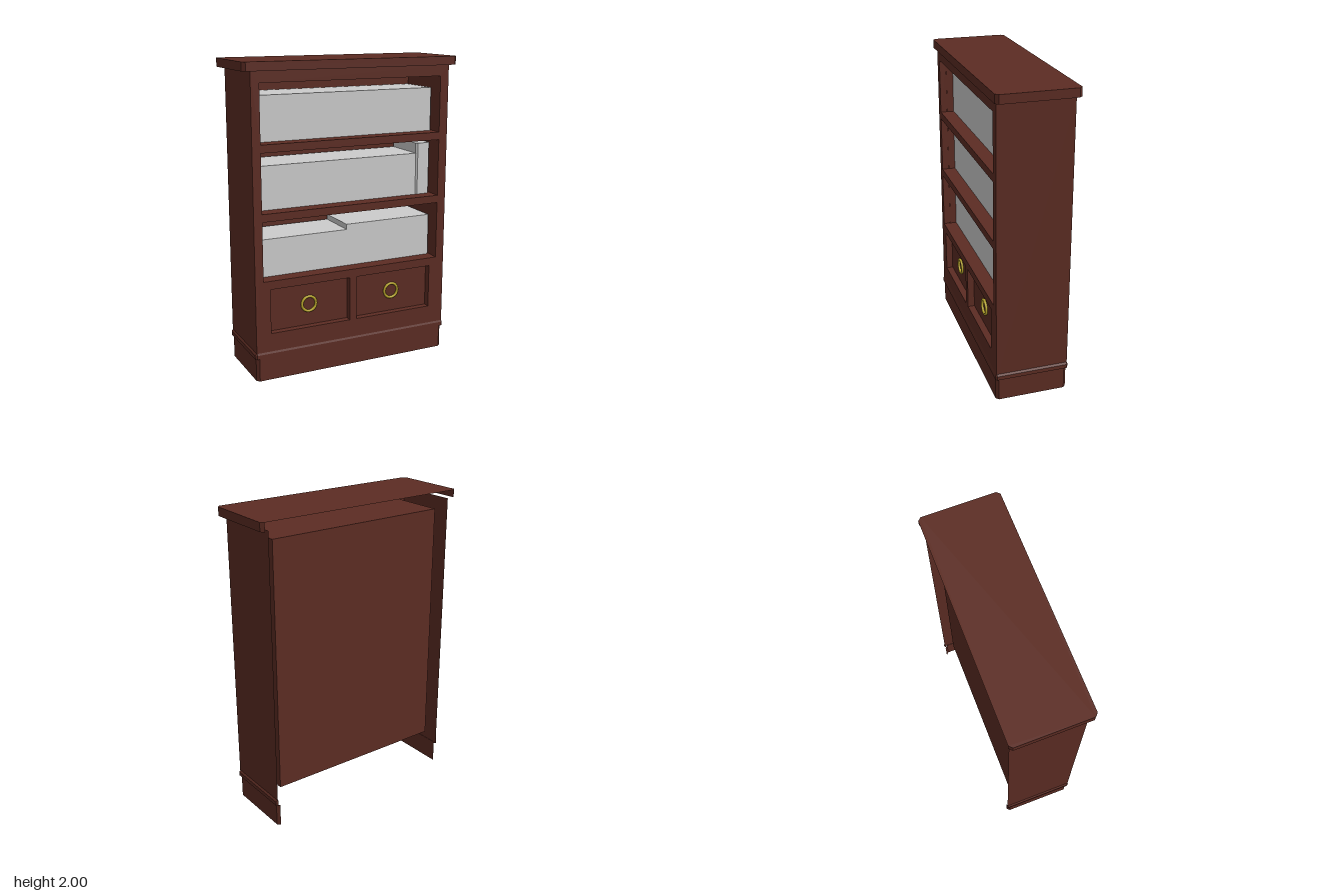
import * as THREE from 'three';

const wood = new THREE.MeshStandardMaterial({ color: 0x5c2c23, side: THREE.DoubleSide });
wood.name = 'mahogany';
const paper = new THREE.MeshStandardMaterial({ color: 0xcccccc });
paper.name = 'pale grey';
const brass = new THREE.MeshStandardMaterial({ color: 0xb8a52c });
brass.name = 'brass';

const FRONT = 0.235, BACK = -0.18;

function add(parent, name, geometry, material, x = 0, y = 0, z = 0) {
  const mesh = new THREE.Mesh(geometry, material);
  mesh.name = name;
  mesh.position.set(x, y, z);
  parent.add(mesh);
  return mesh;
}

// Box given by its limits
function block(parent, name, material, x0, x1, y0, y1, z0, z1) {
  return add(parent, name, new THREE.BoxGeometry(x1 - x0, y1 - y0, z1 - z0), material,
    (x0 + x1) / 2, (y0 + y1) / 2, (z0 + z1) / 2);
}

// Rectangle with cut corners, starting and ending at the back
function outline(w, d, c) {
  return [[w - c, -d], [w, -d + c], [w, d - c], [w - c, d],
    [-w + c, d], [-w, d - c], [-w, -d + c], [-w + c, -d]];
}

// Thin wall through stacked outlines, open at the back; rings are [y, halfWidth, halfDepth, cut]
function openWall(rings) {
  const pos = [];
  for (let i = 0; i + 1 < rings.length; i++) {
    const [ya, ...ra] = rings[i], [yb, ...rb] = rings[i + 1];
    const a = outline(...ra), b = outline(...rb);
    for (let k = 0; k < 7; k++) {
      const p = [a[k][0], ya, a[k][1]], q = [a[k + 1][0], ya, a[k + 1][1]];
      const r = [b[k + 1][0], yb, b[k + 1][1]], s = [b[k][0], yb, b[k][1]];
      // the outlines run clockwise seen from above
      pos.push(...p, ...r, ...q, ...p, ...s, ...r);
    }
  }
  const g = new THREE.BufferGeometry();
  g.setAttribute('position', new THREE.Float32BufferAttribute(pos, 3));
  g.computeVertexNormals();
  return g;
}

function rectPath(x0, x1, y0, y1, Type) {
  return new Type([[x0, y0], [x1, y0], [x1, y1], [x0, y1]].map(p => new THREE.Vector2(...p)));
}

export function createModel() {
  const model = new THREE.Group();
  model.name = 'bookcase';

  // Front frame with three shelf openings and two drawer recesses
  const frame = rectPath(-0.68, 0.68, 0.185, 1.945, THREE.Shape);
  const drawers = [[-0.58, -0.03], [0.02, 0.57]];
  for (const [y0, y1] of [[1.51, 1.875], [1.085, 1.46], [0.655, 1.035]])
    frame.holes.push(rectPath(-0.625, 0.62, y0, y1, THREE.Path));
  for (const [x0, x1] of drawers)
    frame.holes.push(rectPath(x0, x1, 0.31, 0.6, THREE.Path));
  add(model, 'frontFrame', new THREE.ExtrudeGeometry(frame, { depth: 0.045, bevelEnabled: false }),
    wood, 0, 0, FRONT - 0.045);

  // Outer side walls and inner lining
  for (const s of [1, -1]) {
    const side = add(model, s > 0 ? 'leftSide' : 'rightSide',
      new THREE.PlaneGeometry(0.47, 1.795), wood, s * 0.68, 1.0475, 0);
    side.rotation.y = s * Math.PI / 2;
    const lining = add(model, s > 0 ? 'leftLining' : 'rightLining',
      new THREE.PlaneGeometry(0.37, 1.635), wood, s * 0.6225, 1.0575, 0.005);
    lining.rotation.y = -s * Math.PI / 2;
  }
  add(model, 'backPanel', new THREE.PlaneGeometry(1.245, 1.635), wood, 0, 1.0575, BACK);

  // Shelves, ceiling and floor
  for (const [y0, y1] of [[1.46, 1.51], [1.035, 1.085], [0.6, 0.655]])
    block(model, 'shelf', wood, -0.6225, 0.6225, y0, y1, BACK + 0.002, FRONT - 0.045);
  for (const [name, y] of [['ceiling', 1.875], ['floor', 0.24]])
    add(model, name, new THREE.PlaneGeometry(1.245, 0.41), wood, 0, y, 0.025).rotation.x = -Math.PI / 2;

  // Top: a sheet with a rim hanging from three sides
  const topShape = new THREE.Shape(outline(0.733, 0.253, 0.02).map(([x, z]) => new THREE.Vector2(x, -z)));
  add(model, 'topBoard', new THREE.ShapeGeometry(topShape), wood, 0, 2, 0).rotation.x = -Math.PI / 2;
  add(model, 'topRim', openWall([[1.945, 0.733, 0.253, 0.02], [2, 0.733, 0.253, 0.02]]), wood);

  // Plinth and its moulding
  add(model, 'plinth', openWall([[0, 0.68, 0.235, 0.018], [0.15, 0.68, 0.235, 0.018]]), wood);
  add(model, 'moulding', openWall([[0.15, 0.678, 0.233, 0.01], [0.152, 0.69, 0.24, 0.01],
    [0.178, 0.69, 0.24, 0.01], [0.19, 0.68, 0.235, 0.004]]), wood);

  // Drawer fronts with ring pulls
  for (const [x0, x1] of drawers) {
    const drawer = new THREE.Group();
    drawer.name = 'drawer';
    block(drawer, 'drawerFront', wood, x0, x1, 0.31, 0.6, 0.17, 0.19);
    const x = (x0 + x1) / 2;
    add(drawer, 'ringPull', new THREE.TorusGeometry(0.049, 0.009, 8, 24), brass, x, 0.455, 0.199);
    model.add(drawer);
  }

  // Rows of books
  const rows = [
    [-0.622, 0.605, 1.51, 1.795], [-0.622, 0.5, 1.085, 1.365],
    [-0.622, -0.01, 0.655, 0.9], [-0.01, 0.61, 0.655, 0.935],
  ];
  for (const [x0, x1, y0, y1] of rows)
    block(model, 'bookRow', paper, x0, x1, y0 + 0.001, y1, -0.16, 0.145);

  // Single tall book with a bevelled spine
  const book = new THREE.Shape([[0.503, 0.16], [0.503, -0.137], [0.515, -0.147], [0.588, -0.147],
    [0.605, -0.137], [0.605, 0.16]].map(p => new THREE.Vector2(...p)));
  add(model, 'tallBook', new THREE.ExtrudeGeometry(book, { depth: 0.345, bevelEnabled: false }),
    paper, 0, 1.086, 0).rotation.x = -Math.PI / 2;

  return model;
}
